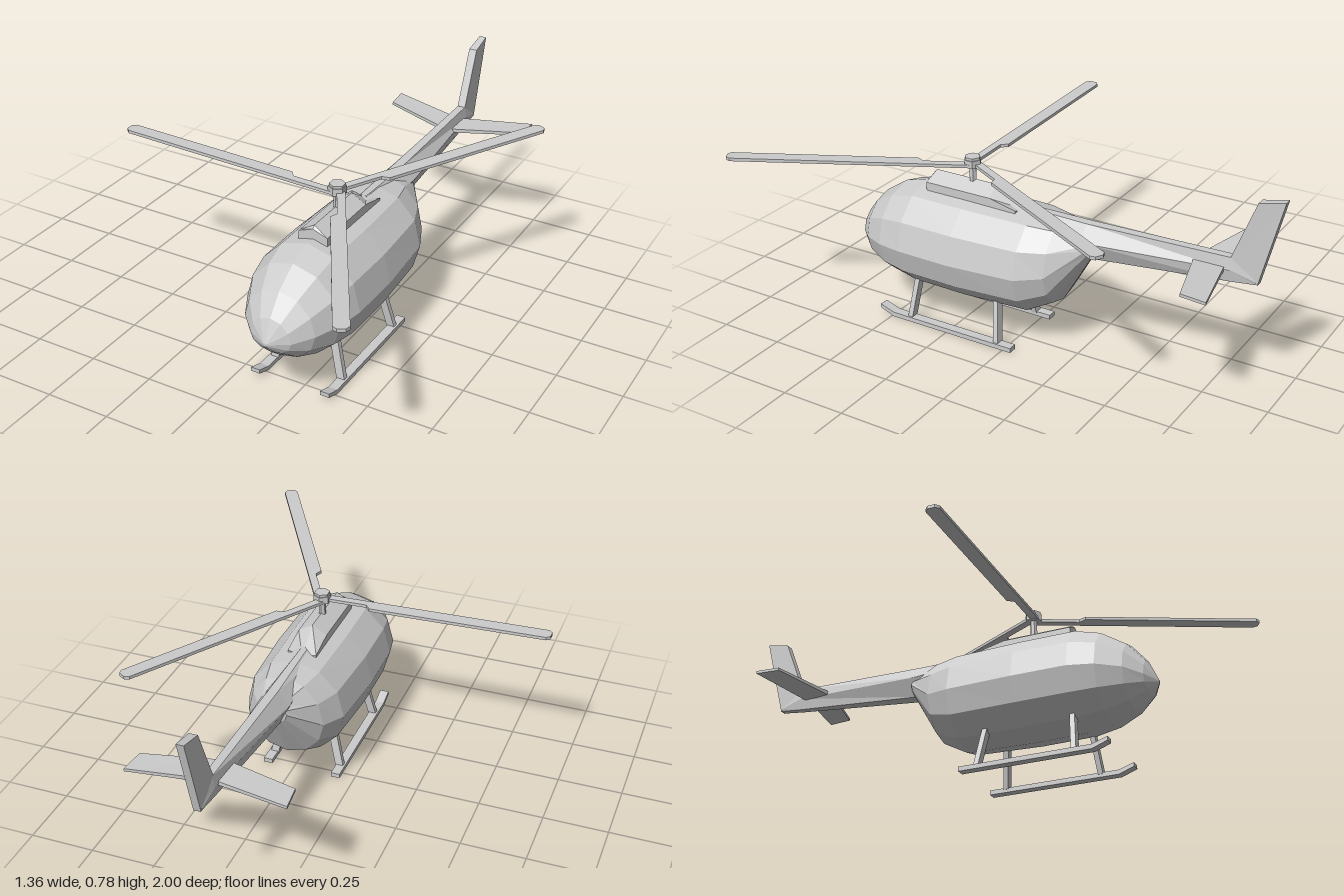
import * as THREE from 'three';

const material = new THREE.MeshStandardMaterial({ color: 0xcccccc, flatShading: true });

function addMesh(parent, name, geometry) {
  const mesh = new THREE.Mesh(geometry, material);
  mesh.name = name;
  parent.add(mesh);
  return mesh;
}

// Skin a closed solid through cross-sections with equal point counts; faces are turned outward.
function loft(rings) {
  const tris = [], n = rings[0].length;
  for (let r = 0; r < rings.length - 1; r++) {
    for (let i = 0; i < n; i++) {
      const j = (i + 1) % n, a = rings[r], b = rings[r + 1];
      tris.push([a[i], a[j], b[j]], [a[i], b[j], b[i]]);
    }
  }
  const first = rings[0], last = rings[rings.length - 1];
  for (let i = 1; i < n - 1; i++) {
    tris.push([first[0], first[i + 1], first[i]], [last[0], last[i], last[i + 1]]);
  }
  let volume = 0;
  for (const t of tris) {
    const [a, b, c] = t.map((p) => new THREE.Vector3(...p));
    volume += a.dot(b.cross(c));
  }
  if (volume < 0) tris.forEach((t) => t.reverse());
  const geometry = new THREE.BufferGeometry();
  geometry.setAttribute('position', new THREE.Float32BufferAttribute(tris.flat(2), 3));
  geometry.computeVertexNormals();
  return geometry;
}

// Horizontal rectangle used as a section of struts and the fin
const rect = (x, y, z, hx, hz) => [
  [x - hx, y, z - hz], [x + hx, y, z - hz], [x + hx, y, z + hz], [x - hx, y, z + hz],
];

// Vertical rectangle used as a section of the skid runners
const upright = (x, y, z, hx, hy) => [
  [x - hx, y - hy, z], [x + hx, y - hy, z], [x + hx, y + hy, z], [x - hx, y + hy, z],
];

// Twelve-sided body section, with separate upper and lower radii
function bodyRing([z, top, middle, bottom, halfWidth]) {
  return Array.from({ length: 12 }, (_, i) => {
    const a = (i / 12) * Math.PI * 2, c = Math.cos(a);
    return [Math.sin(a) * halfWidth, middle + c * (c > 0 ? top - middle : middle - bottom), z];
  });
}

// Six-sided tail boom section
const boomRing = ([z, top, side, bottom, hwTop, hwSide, hwBottom]) => [
  [-hwTop, top, z], [hwTop, top, z], [hwSide, side, z],
  [hwBottom, bottom, z], [-hwBottom, bottom, z], [-hwSide, side, z],
];

// House-shaped section of the engine cover
const coverRing = (z, eave, ridge) => [
  [-0.057, 0.48, z], [0.057, 0.48, z], [0.057, eave, z], [0, ridge, z], [-0.057, eave, z],
];

function bladeGeometry() {
  const outline = [
    [0, 0.027], [0.88, 0.027], [0.895, 0.014], [0.895, -0.014],
    [0.88, -0.027], [0.2, -0.027], [0.18, -0.003], [0, -0.003],
  ].map((p) => new THREE.Vector2(...p));
  return new THREE.ExtrudeGeometry(new THREE.Shape(outline), { depth: 0.012, bevelEnabled: false })
    .rotateX(-Math.PI / 2)
    .rotateZ(0.027);
}

export function createModel() {
  const model = new THREE.Group();
  model.name = 'helicopter';
  const craft = new THREE.Group();
  craft.name = 'craft';
  craft.position.x = 0.215;
  model.add(craft);

  // Rounded cabin: z, top, widest height, bottom, half width
  addMesh(craft, 'fuselage', loft([
    [0.705, 0.29, 0.285, 0.275, 0.008],
    [0.67, 0.37, 0.29, 0.235, 0.08],
    [0.61, 0.445, 0.305, 0.185, 0.14],
    [0.52, 0.505, 0.315, 0.148, 0.187],
    [0.42, 0.533, 0.32, 0.13, 0.207],
    [0.2, 0.533, 0.32, 0.128, 0.21],
    [-0.07, 0.53, 0.325, 0.135, 0.193],
    [-0.17, 0.52, 0.34, 0.19, 0.15],
    [-0.29, 0.475, 0.44, 0.4, 0.055],
  ].map(bodyRing)));

  // Engine cover with a pitched roof
  addMesh(craft, 'engineCover', loft([
    coverRing(0.385, 0.55, 0.572), coverRing(0.375, 0.55, 0.583),
    coverRing(0.11, 0.55, 0.583), coverRing(0, 0.525, 0.51),
  ]));

  // Tail
  addMesh(craft, 'tailBoom', loft([
    [0.02, 0.53, 0.5, 0.42, 0.012, 0.05, 0.02],
    [-0.27, 0.527, 0.47, 0.398, 0.018, 0.06, 0.028],
    [-0.825, 0.54, 0.495, 0.45, 0.015, 0.022, 0.015],
    [-0.915, 0.48, 0.47, 0.46, 0.012, 0.015, 0.012],
  ].map(boomRing)));
  addMesh(craft, 'tailFin', loft([
    [[-0.016, 0.54, -0.82], [0.016, 0.54, -0.82], [0.014, 0.46, -0.92], [-0.014, 0.46, -0.92]],
    [[-0.016, 0.76, -0.905], [0.016, 0.76, -0.905], [0.014, 0.782, -1], [-0.014, 0.782, -1]],
  ]));
  for (const s of [1, -1]) {
    addMesh(craft, s > 0 ? 'leftStabilizer' : 'rightStabilizer', loft([
      [[0, 0.484, -0.68], [0, 0.5, -0.68], [0, 0.5, -0.795], [0, 0.484, -0.795]],
      [[s * 0.285, 0.505, -0.765], [s * 0.285, 0.516, -0.765],
        [s * 0.295, 0.516, -0.862], [s * 0.295, 0.505, -0.862]],
    ]));
  }

  // Landing gear
  for (const s of [1, -1]) {
    const side = s > 0 ? 'left' : 'right';
    addMesh(craft, side + 'Skid', loft([
      upright(s * 0.142, 0.009, -0.035, 0.018, 0.009),
      upright(s * 0.142, 0.009, 0.49, 0.018, 0.009),
      upright(s * 0.142, 0.03, 0.55, 0.018, 0.008),
    ]));
    for (const [name, zTop, zBottom] of [['FrontStrut', 0.403, 0.418], ['RearStrut', 0.053, 0.032]]) {
      addMesh(craft, side + name, loft([
        rect(s * 0.1, 0.17, zTop, 0.016, 0.01),
        rect(s * 0.138, 0.012, zBottom, 0.016, 0.01),
      ]));
    }
  }

  // Main rotor
  const rotor = new THREE.Group();
  rotor.name = 'mainRotor';
  rotor.position.z = 0.215;
  craft.add(rotor);
  addMesh(rotor, 'mast', new THREE.CylinderGeometry(0.014, 0.014, 0.09, 6)).position.y = 0.605;
  addMesh(rotor, 'hub', new THREE.CylinderGeometry(0.034, 0.034, 0.028, 6)).position.y = 0.648;
  addMesh(rotor, 'hubCap', new THREE.CylinderGeometry(0.03, 0.03, 0.015, 6)).position.y = 0.664;
  for (let i = 0; i < 3; i++) {
    const blade = addMesh(rotor, 'rotorBlade', bladeGeometry());
    blade.position.y = 0.634;
    blade.rotation.y = Math.PI + (i * Math.PI * 2) / 3;
  }
  return model;
}
